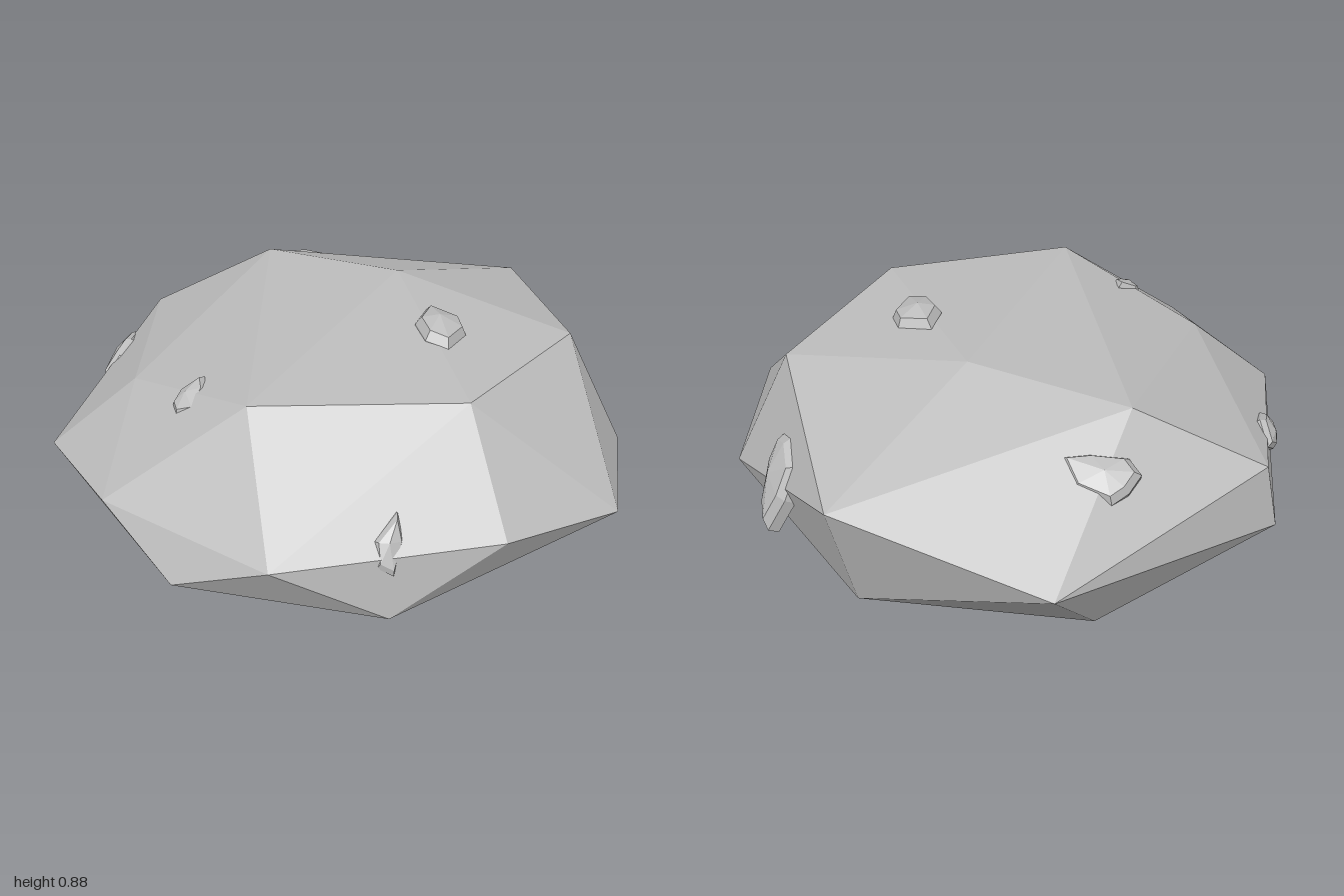
import * as THREE from 'three';
import { ConvexGeometry } from 'three/addons/geometries/ConvexGeometry.js';

const stone = new THREE.MeshStandardMaterial({ color: 0xbebebe });
stone.name = 'light grey stone';

const V = (p) => new THREE.Vector3(...p);

// Faceted body: rings of corner points from crown to underside
const crown = [
  [-0.42, 0.81, 0.5], [0.25, 0.797, 0.655], [0.78, 0.76, 0.27],
  [0.3, 0.855, -0.19], [-0.08, 0.81, -0.6], [-0.7, 0.66, -0.02],
];
const girdle = [
  [0.38, 0.49, -0.975], [0.9, 0.65, -0.49], [0.985, 0.335, 0.34], [0.73, 0.39, 0.81],
  [0.26, 0.49, 0.975], [-0.1, 0.26, 0.95], [-0.46, 0.48, 0.9], [-0.72, 0.33, 0.69],
  [-0.88, 0.48, 0.4], [-1, 0.4, -0.1], [-0.5, 0.565, -0.78], [-0.55, 0.32, -0.8],
];
const underside = [
  [0.8, 0.2, -0.4], [0.11, 0.11, -0.75], [-0.54, 0.07, -0.27],
  [-0.55, 0.07, 0.41], [0.42, 0.06, 0.55], [0.22, 0, -0.1],
];

// Small chips: centre, outward direction, up direction, outline in that plane, height
const chips = [
  { name: 'frontChip', at: [-0.09, 0.505, 0.9], out: [0, 0.5, 0.86], up: [0, 1, 0], h: 0.03,
    outline: [[0.04, 0.093], [0.045, 0.01], [0, -0.093], [-0.048, -0.06], [-0.043, 0.02]] },
  { name: 'rightChip', at: [0.925, 0.5, -0.06], out: [0.89, 0.45, 0.06], up: [0, 1, 0], h: 0.05,
    outline: [[-0.025, 0.15], [0.09, 0.105], [0.105, -0.02], [0.075, -0.16], [-0.01, -0.125], [-0.1, 0.025], [-0.095, 0.125]] },
  { name: 'topChip', at: [0.31, 0.82, 0.22], out: [0.13, 0.98, 0.08], up: [0, 0, -1], h: 0.055,
    outline: [[0, 0.13], [0.09, 0.04], [0.08, -0.045], [-0.015, -0.13], [-0.075, -0.07], [-0.075, 0.035]] },
  { name: 'smallTopChip', at: [-0.55, 0.717, 0.26], out: [-0.45, 0.87, 0.16], up: [0, 0, -1], h: 0.035,
    outline: [[0.067, 0.06], [0.055, 0], [-0.01, -0.07], [-0.07, -0.035], [-0.067, 0.015], [-0.02, 0.055]] },
  { name: 'backChip', at: [0.09, 0.685, -0.71], out: [0.25, 0.83, -0.5], up: [0, 0, -1], h: 0.05,
    outline: [[0.025, 0.105], [0.1, 0], [0.085, -0.11], [0, -0.07], [-0.1, 0.005], [-0.105, 0.07], [-0.04, 0.1]] },
  { name: 'leftChip', at: [-0.69, 0.485, -0.52], out: [-0.75, 0.5, -0.42], up: [0.5, 0.165, -0.68], h: 0.035,
    outline: [[0, 0.14], [0.06, 0.03], [0.05, -0.06], [-0.02, -0.13], [-0.06, -0.06], [-0.05, 0.05]] },
];

// Bevelled chip: sunk base, upright rim, narrower bevel and a small peak
function makeChip({ name, at, out, up, outline, h }) {
  const n = V(out).normalize();
  const right = V(up).cross(n).normalize();
  const top = n.clone().cross(right);
  const rings = [[1, -0.035], [1, 0.003], [0.8, h * 0.6]];
  const pts = [];
  for (const [scale, lift] of rings) {
    for (const [u, v] of outline) pts.push(new THREE.Vector3(u * scale, v * scale, lift));
  }
  pts.push(new THREE.Vector3(-0.005, 0.01, h));
  const mesh = new THREE.Mesh(new ConvexGeometry(pts), stone);
  mesh.name = name;
  mesh.quaternion.setFromRotationMatrix(new THREE.Matrix4().makeBasis(right, top, n));
  mesh.position.copy(V(at));
  return mesh;
}

export function createModel() {
  const model = new THREE.Group();
  model.name = 'rock';
  const body = new THREE.Mesh(new ConvexGeometry([...crown, ...girdle, ...underside].map(V)), stone);
  body.name = 'rockBody';
  model.add(body, ...chips.map(makeChip));
  return model;
}
